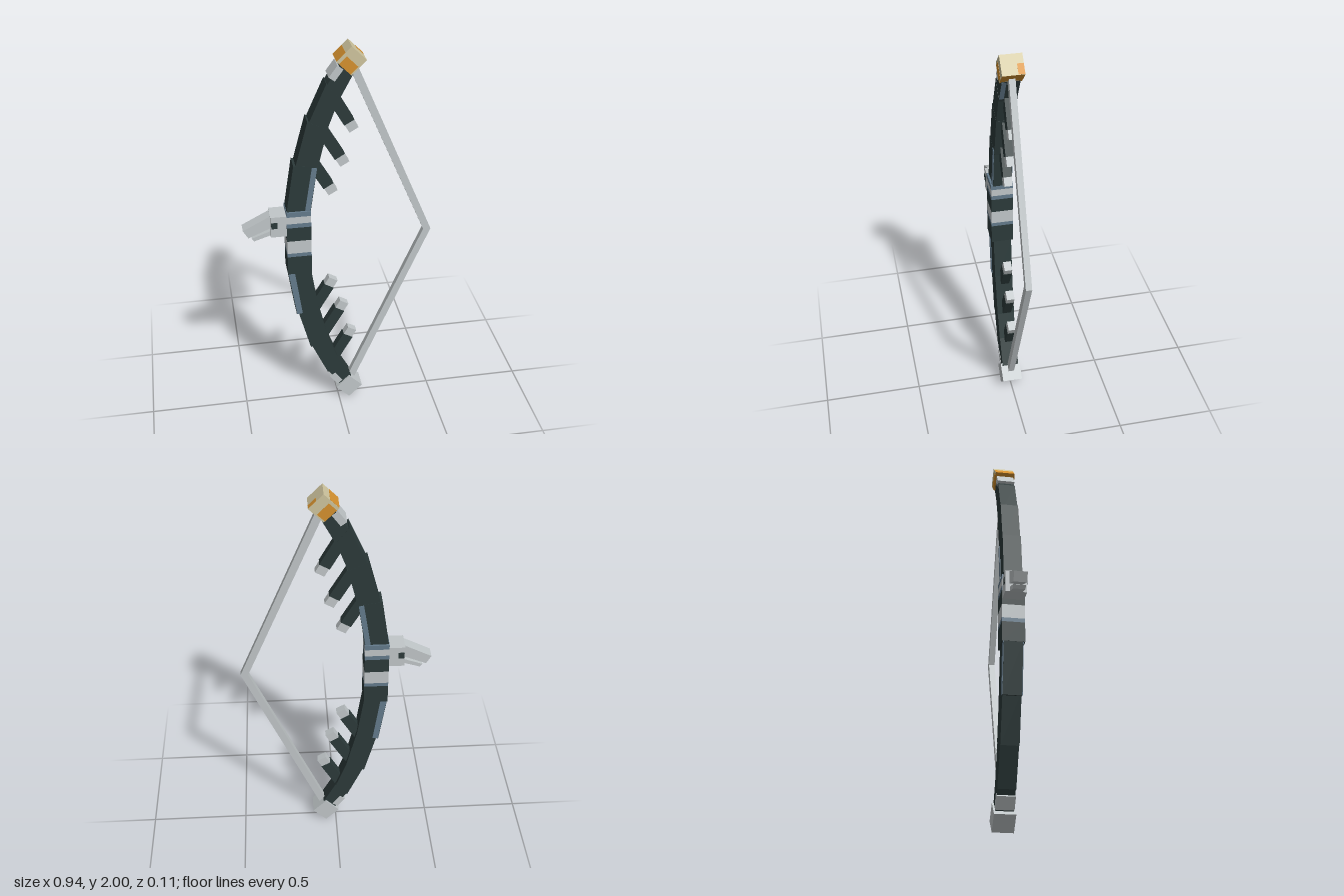
import * as THREE from 'three';

const mat = (name, color) => {
  const m = new THREE.MeshStandardMaterial({ color, flatShading: true });
  m.name = name;
  return m;
};

export function createModel() {
  const dark = mat('darkGreen', 0x2c3a3a);
  const light = mat('paleMetal', 0xc1c7c9);
  const blue = mat('slateBlue', 0x647b8c);
  const tan = mat('paleGold', 0xcfc59e);
  const orange = mat('amber', 0xd5912f);

  const bow = new THREE.Group();
  bow.name = 'bow';

  // Polygon in the xy plane, extruded from z0 to z1; flip mirrors it about the grip
  const prism = (name, pts, z0, z1, material, flip = false) => {
    const shape = new THREE.Shape(pts.map(([x, y]) => new THREE.Vector2(x, flip ? 2 - y : y)));
    const geo = new THREE.ExtrudeGeometry(shape, { depth: z1 - z0, bevelEnabled: false });
    geo.translate(0, 0, z0);
    const mesh = new THREE.Mesh(geo, material);
    mesh.name = name;
    bow.add(mesh);
    return mesh;
  };

  // Bar of a given width running between two points
  const bar = (name, [ax, ay], [bx, by], width, z0, z1, material, flip) => {
    const len = Math.hypot(bx - ax, by - ay);
    const nx = (-(by - ay) / len) * width / 2, ny = ((bx - ax) / len) * width / 2;
    prism(name, [[ax + nx, ay + ny], [bx + nx, by + ny], [bx - nx, by - ny], [ax - nx, ay - ny]],
      z0, z1, material, flip);
  };

  // Grip, stacked from coloured bands
  const bands = [[0.83, 0.93, dark], [0.93, 0.95, blue], [0.95, 1.02, light], [1.02, 1.095, dark],
    [1.095, 1.118, blue], [1.118, 1.155, light], [1.155, 1.18, blue]];
  for (const [y0, y1, m] of bands) {
    prism('gripBand', [[-0.26, y0], [-0.14, y0], [-0.14, y1], [-0.26, y1]], -0.056, 0.056, m);
  }

  // Limb segments from grip to tip
  const segments = [
    [[-0.259, 1.17], [-0.141, 1.17], [-0.105, 1.41], [-0.22, 1.425]],
    [[-0.215, 1.4], [-0.112, 1.37], [-0.055, 1.6], [-0.15, 1.645]],
    [[-0.16, 1.6], [-0.075, 1.55], [0, 1.75], [-0.06, 1.825]],
    [[-0.062, 1.81], [-0.008, 1.73], [0.067, 1.87], [0.01, 1.92]],
  ];
  // Prongs: root and far end
  const prongs = [[[-0.125, 1.42], [-0.025, 1.25]], [[-0.075, 1.58], [0.032, 1.4]], [[-0.025, 1.75], [0.075, 1.575]]];

  for (const flip of [false, true]) {
    segments.forEach((pts, i) => {
      const h = 0.046 - i * 0.001;
      prism('limbSegment', pts, -h, h, dark, flip);
    });

    for (const [root, end] of prongs) {
      const mid = [root[0] + (end[0] - root[0]) * 0.77, root[1] + (end[1] - root[1]) * 0.77];
      bar('prong', root, mid, 0.056, -0.026, 0.018, dark, flip);
      bar('prongCap', mid, end, 0.05, -0.024, 0.016, light, flip);
    }

    // Pale block on the outer side of the limb end
    bar('limbEndBlock', [-0.035, 1.845], [0.005, 1.9], 0.035, -0.0445, 0.0445, light, flip);

    // Half of the drawn string
    prism('string', [[0.05, 1.89], [0.085, 1.905], [0.472, 1], [0.434, 1]], -0.015, 0.015, light, flip);
  }

  // Painted stripes: inner edge on the upper limb, outer edge on the lower
  prism('upperStripe', [[-0.168, 1.18], [-0.142, 1.18], [-0.107, 1.405], [-0.132, 1.41]], -0.049, 0.049, blue);
  prism('lowerStripe', [[-0.257, 1.17], [-0.225, 1.17], [-0.19, 1.419], [-0.218, 1.423]], -0.049, 0.049, blue, true);
  bar('tipStripe', [0, 1.75], [0.062, 1.866], 0.006, 0.02, 0.042, blue);

  // Square tips turned on their corners
  const tip = (name, y, material) => {
    const mesh = new THREE.Mesh(new THREE.BoxGeometry(0.098, 0.098, 0.104), material);
    mesh.name = name;
    mesh.position.set(0.055, y, 0);
    mesh.rotation.z = Math.PI / 4;
    bow.add(mesh);
    return mesh;
  };
  tip('lowerTip', 0.07, light);
  const upperTip = tip('upperTip', 1.93, [tan, orange, tan, orange, tan, tan]);

  // Amber patches on the upper tip
  const patch = (w, h, d, x, y, z) => {
    const mesh = new THREE.Mesh(new THREE.BoxGeometry(w, h, d), orange);
    mesh.name = 'tipPatch';
    mesh.position.set(x, y, z);
    upperTip.add(mesh);
  };
  for (const s of [-1, 1]) patch(0.05, 0.075, 0.002, -0.024, -0.004, s * 0.052);
  patch(0.058, 0.002, 0.1, -0.02, 0.049, 0);
  patch(0.002, 0.05, 0.03, 0.049, -0.022, -0.036);

  // Beaked head in front of the grip
  prism('head', [[-0.338, 1.05], [-0.259, 1.05], [-0.259, 1.16], [-0.338, 1.16]], -0.052, 0.052, light);
  prism('upperBeak', [[-0.335, 1.159], [-0.472, 1.088], [-0.447, 1.045], [-0.335, 1.092]], -0.032, 0.032, light);
  prism('lowerBeak', [[-0.335, 1.075], [-0.43, 1.04], [-0.418, 1.024], [-0.335, 1.051]], -0.03, 0.03, light);
  for (const z of [-0.055, 0.051]) {
    prism('eye', [[-0.335, 1.098], [-0.305, 1.098], [-0.305, 1.13], [-0.335, 1.13]], z, z + 0.004, dark);
  }

  return bow;
}
